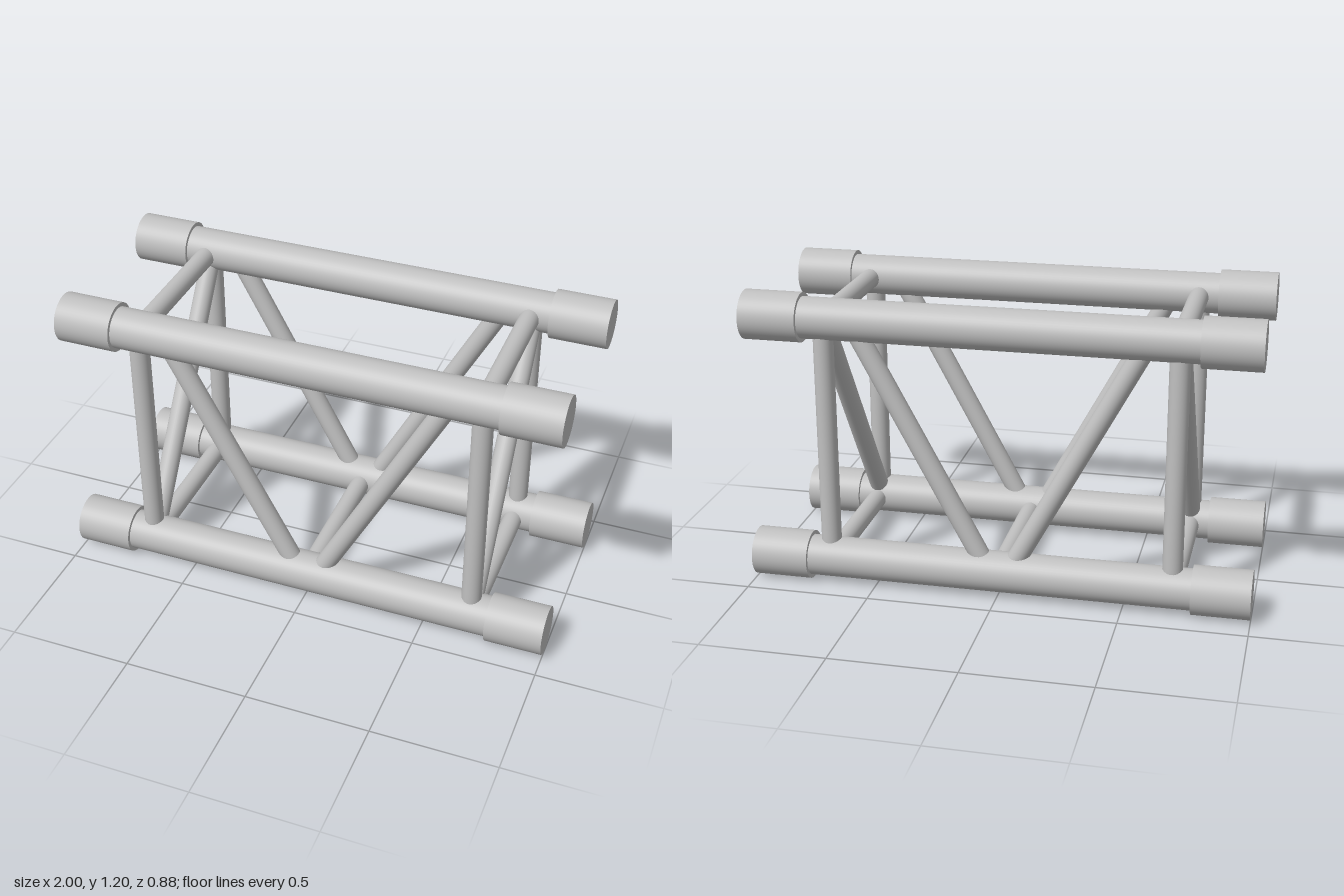
import * as THREE from 'three';

const LOW = 0.0975, HIGH = 1.0975, DEPTH = 0.345; // chord centre lines
const CHORD_R = 0.082, COLLAR_R = 0.0975, BRACE_R = 0.04;
const FRAME_X = 0.69;

export function createModel() {
  const model = new THREE.Group();
  model.name = 'trussSegment';
  const aluminium = new THREE.MeshStandardMaterial({ color: 0xc0c0c0 });
  aluminium.name = 'aluminium';

  // Round bar between two points
  function bar(name, a, b, radius, segments = 32) {
    const from = new THREE.Vector3(...a), to = new THREE.Vector3(...b);
    const dir = to.clone().sub(from);
    const mesh = new THREE.Mesh(
      new THREE.CylinderGeometry(radius, radius, dir.length(), segments), aluminium);
    mesh.name = name;
    mesh.position.copy(from).add(to).multiplyScalar(0.5);
    mesh.quaternion.setFromUnitVectors(new THREE.Vector3(0, 1, 0), dir.normalize());
    model.add(mesh);
  }

  // Four main tubes with end collars
  for (const y of [LOW, HIGH]) {
    for (const z of [-DEPTH, DEPTH]) {
      bar('mainTube', [-0.78, y, z], [0.78, y, z], CHORD_R, 48);
      for (const s of [-1, 1]) bar('endCollar', [s * 0.77, y, z], [s, y, z], COLLAR_R, 48);
    }
  }

  for (const s of [-1, 1]) {
    const x = s * FRAME_X;
    // Uprights and V-shaped diagonals on the front and back faces
    for (const z of [-DEPTH, DEPTH]) {
      bar('upright', [x, LOW, z], [x, HIGH, z], BRACE_R);
      bar('faceDiagonal', [s * 0.04, LOW, z], [s * 0.58, HIGH, z], BRACE_R);
    }
    // End frames: cross bars and one diagonal
    for (const y of [LOW, HIGH]) bar('crossBar', [x, y, -DEPTH], [x, y, DEPTH], BRACE_R);
    bar('endDiagonal', [x, LOW, DEPTH], [x, HIGH, -DEPTH], BRACE_R);
  }

  // Middle cross bar at the bottom
  bar('middleCrossBar', [0, LOW, -DEPTH], [0, LOW, DEPTH], BRACE_R);

  return model;
}
